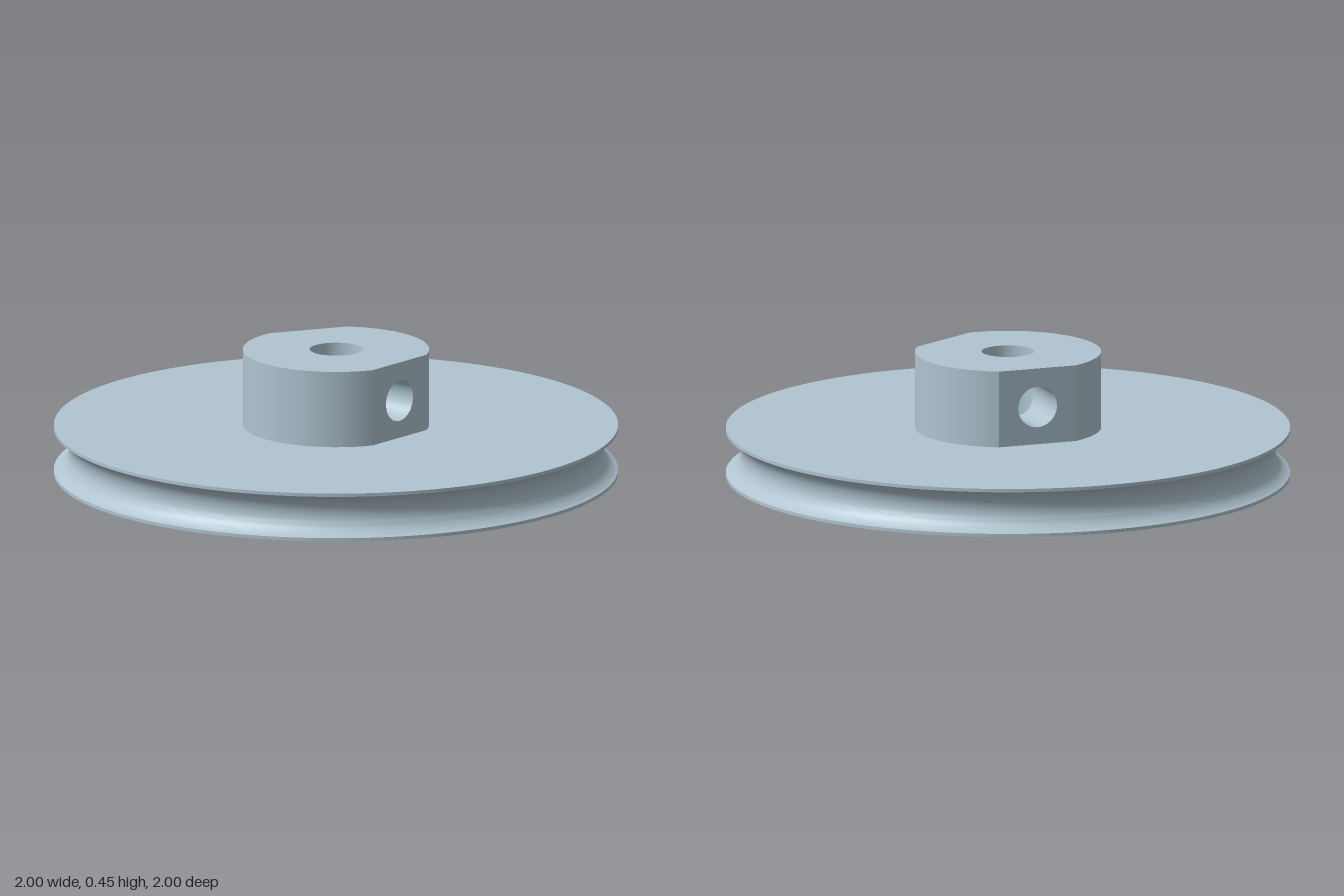
import * as THREE from 'three';
import { toCreasedNormals } from 'three/addons/utils/BufferGeometryUtils.js';
import { ParametricGeometry } from 'three/addons/geometries/ParametricGeometry.js';

const DEG = Math.PI / 180;
const DISC_H = 0.175, TOP = 0.45;
const BORE = 0.0935, HUB = 0.33, FLAT = 0.296;
const SCREW = 0.0735, SCREW_Y = 0.31;
const FLAT_ANGLES = [0, 150 * DEG]; // flats, measured from +z towards +x
const FLAT_HALF = Math.acos(FLAT / HUB);
const PATCH_HALF = 60 * DEG; // bore wall around each screw hole
const PATCH_H = TOP - SCREW_Y;

export function createModel() {
  const group = new THREE.Group();
  const steel = new THREE.MeshStandardMaterial({ color: 0xb0c4d0 });
  steel.name = 'paleSteel';
  const add = (name, geometry, angle = 0) => {
    const mesh = new THREE.Mesh(geometry, steel);
    mesh.name = name;
    mesh.rotation.y = angle;
    group.add(mesh);
  };

  // Pulley disc with a round rope groove and the lower bore
  const lip = 0.012, mid = DISC_H / 2, depth = 0.052, half = mid - lip;
  const grooveR = (half * half + depth * depth) / (2 * depth);
  const centre = 1 - depth + grooveR, sweep = Math.asin(half / grooveR);
  const profile = [[BORE, SCREW_Y - PATCH_H], [BORE, 0], [1, 0]];
  for (let i = 0; i <= 20; i++) {
    const a = sweep * (i / 10 - 1);
    profile.push([centre - grooveR * Math.cos(a), mid + grooveR * Math.sin(a)]);
  }
  profile.push([1, DISC_H], [HUB * 0.8, DISC_H]);
  const disc = new THREE.LatheGeometry(profile.map(p => new THREE.Vector2(...p)), 144);
  add('grooveDisc', toCreasedNormals(disc, 30 * DEG));

  // Hub top face, round with two flats and the bore
  const [a0, a1] = FLAT_ANGLES;
  const arcs = [[a0 + FLAT_HALF, a1 - FLAT_HALF], [a1 + FLAT_HALF, a0 + 2 * Math.PI - FLAT_HALF]];
  const outline = new THREE.Shape();
  for (const [s, e] of arcs) outline.absarc(0, 0, HUB, s - Math.PI / 2, e - Math.PI / 2, false);
  outline.closePath();
  outline.holes.push(new THREE.Path().absarc(0, 0, BORE, 0, 2 * Math.PI, true));
  add('hubTop', new THREE.ShapeGeometry(outline, 48).rotateX(-Math.PI / 2).translate(0, TOP, 0));

  // Hub round walls
  const hubH = TOP - DISC_H;
  for (const [s, e] of arcs) {
    const wall = new THREE.CylinderGeometry(HUB, HUB, hubH, 96, 1, true, s, e - s);
    add('hubRoundWall', wall.translate(0, DISC_H + hubH / 2, 0));
  }

  // Each flat with its screw hole running into the bore
  const w = HUB * Math.sin(FLAT_HALF);
  for (const angle of FLAT_ANGLES) {
    const face = new THREE.Shape([
      new THREE.Vector2(-w, DISC_H), new THREE.Vector2(w, DISC_H),
      new THREE.Vector2(w, TOP), new THREE.Vector2(-w, TOP),
    ]);
    face.holes.push(new THREE.Path().absarc(0, SCREW_Y, SCREW, 0, 2 * Math.PI, true));
    add('hubFlat', new THREE.ShapeGeometry(face, 32).translate(0, 0, FLAT), angle);

    add('screwHole', new ParametricGeometry((u, v, p) => {
      const t = u * 2 * Math.PI, x = SCREW * Math.cos(t);
      const inner = Math.sqrt(BORE * BORE - x * x);
      p.set(x, SCREW_Y + SCREW * Math.sin(t), FLAT + (inner - FLAT) * v);
    }, 64, 2), angle);

    // Bore wall from the hole edge out to a rectangular border
    add('boreWallAroundHole', new ParametricGeometry((u, v, p) => {
      const t = u * 2 * Math.PI, c = Math.cos(t), s = Math.sin(t);
      const d = Math.max(Math.abs(c), Math.abs(s));
      const th = THREE.MathUtils.lerp(Math.asin(SCREW * c / BORE), PATCH_HALF * c / d, v);
      const y = THREE.MathUtils.lerp(SCREW * s, PATCH_H * s / d, v);
      p.set(BORE * Math.sin(th), SCREW_Y + y, BORE * Math.cos(th));
    }, 64, 8), angle);
  }

  // Plain bore wall between the screw holes
  const gaps = [[a0 + PATCH_HALF, a1 - PATCH_HALF], [a1 + PATCH_HALF, a0 + 2 * Math.PI - PATCH_HALF]];
  const side = [new THREE.Vector2(BORE, TOP), new THREE.Vector2(BORE, SCREW_Y - PATCH_H)];
  for (const [s, e] of gaps) add('boreWall', new THREE.LatheGeometry(side, 24, s, e - s));

  return group;
}
